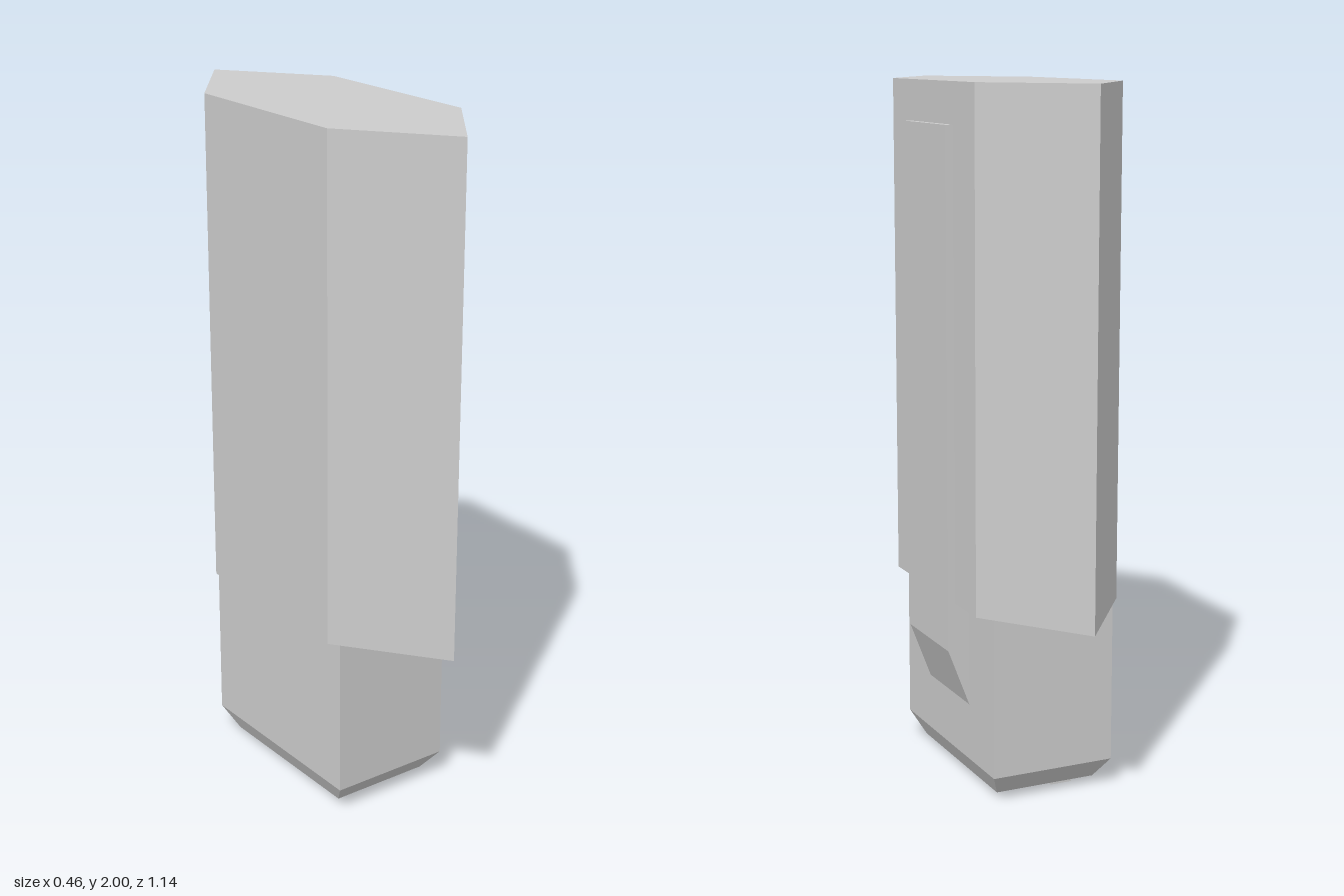
import * as THREE from 'three';

const material = new THREE.MeshStandardMaterial({ color: 0xcccccc, flatShading: true });

function add(group, name, geometry, x = 0, y = 0, z = 0) {
  const mesh = new THREE.Mesh(geometry, material);
  mesh.name = name;
  mesh.position.set(x, y, z);
  group.add(mesh);
}

const box = (w, h, d) => new THREE.BoxGeometry(w, h, d);

function extrude(points, depth) {
  const shape = new THREE.Shape(points.map(([x, y]) => new THREE.Vector2(x, y)));
  return new THREE.ExtrudeGeometry(shape, { depth, bevelEnabled: false });
}

// Joins rectangular rings [y, xMin, xMax, zHalf] with flat quads
function rectangularLoft(rings) {
  const corners = rings.map(([y, x0, x1, z]) => [[x1, y, z], [x1, y, -z], [x0, y, -z], [x0, y, z]]);
  const positions = [];
  for (let i = 0; i < rings.length - 1; i++) {
    for (let j = 0; j < 4; j++) {
      const k = (j + 1) % 4;
      const [a, b, c, d] = [corners[i][j], corners[i][k], corners[i + 1][k], corners[i + 1][j]];
      positions.push(...a, ...d, ...c, ...a, ...c, ...b);
    }
  }
  const geometry = new THREE.BufferGeometry();
  geometry.setAttribute('position', new THREE.Float32BufferAttribute(positions, 3));
  geometry.computeVertexNormals();
  return geometry;
}

export function createModel() {
  const model = new THREE.Group();
  model.name = 'connector';

  // Six-sided upper body, pointed at front and back
  const body = extrude([
    [0.207, -0.285], [0.207, 0.285], [-0.012, 0.572],
    [-0.231, 0.285], [-0.231, -0.285], [-0.012, -0.572],
  ], 1.45);
  body.rotateX(-Math.PI / 2);
  add(model, 'upperBody', body, 0, 0.55, 0);

  // Chamfered lower shell with an open socket
  add(model, 'plugShell', rectangularLoft([
    [0.55, -0.206, 0.164, 0.31],
    [0.08, -0.206, 0.164, 0.31],
    [0.015, -0.173, 0.131, 0.258],
    [0.015, -0.16, 0.118, 0.243],
    [0.45, -0.16, 0.118, 0.243],
    [0.45, -0.021, -0.021, 0],
  ]));

  // Tongue inside the socket, reaching just past the rim
  add(model, 'tongue', box(0.065, 0.45, 0.476), -0.083, 0.225, 0);

  // Contacts on the tongue
  for (const z of [-0.165, -0.055, 0.055, 0.165]) {
    add(model, 'contact', box(0.008, 0.4, 0.06), -0.047, 0.24, z);
  }

  // Latch strip on the left side, ramped at its lower end
  add(model, 'latch', extrude([
    [0.15, 0.245], [0.164, 0.245], [0.228, 0.412], [0.228, 1.885], [0.15, 1.885],
  ], 0.284), 0, 0, -0.141);

  return model;
}
